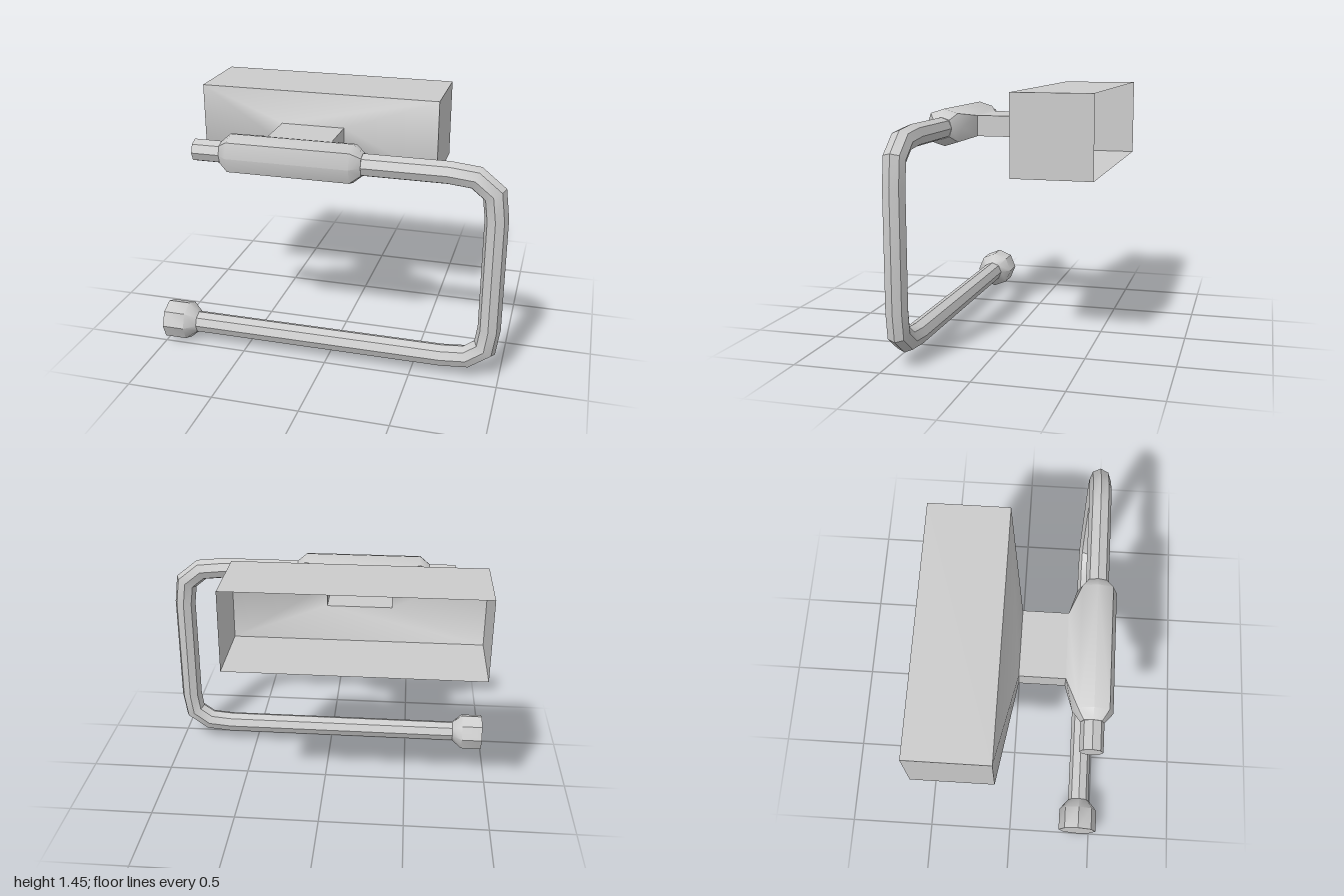
import * as THREE from 'three';
import { toCreasedNormals } from 'three/addons/utils/BufferGeometryUtils.js';
import { ConvexGeometry } from 'three/addons/geometries/ConvexGeometry.js';

const SIDES = 8, CREASE = 0.68;
const ROD_Z = 0.423, ROD_R = 0.064, TOP_Y = 1.225, LOW_Y = 0.12;

const solid = new THREE.MeshStandardMaterial({ color: 0xcccccc });
const shell = new THREE.MeshStandardMaterial({ color: 0xcccccc, side: THREE.DoubleSide });

// Skins a series of rings of equal point count, with optional end caps
function loft(rings, capped) {
  const n = rings[0].length, last = (rings.length - 1) * n, index = [];
  for (let i = 0; i < rings.length - 1; i++) {
    for (let j = 0; j < n; j++) {
      const a = i * n + j, b = i * n + (j + 1) % n;
      index.push(a, b, b + n, a, b + n, a + n);
    }
  }
  if (capped) {
    for (let j = 1; j < n - 1; j++) {
      index.push(0, j + 1, j, last, last + j, last + j + 1);
    }
  }
  const geo = new THREE.BufferGeometry();
  geo.setAttribute('position', new THREE.Float32BufferAttribute(rings.flat(2), 3));
  geo.setIndex(index);
  return toCreasedNormals(geo, CREASE);
}

// Octagonal rings along a path of [x, y, radius], mitred at the bends
function pathRings(points) {
  const dir = (a, b) => new THREE.Vector2(b[0] - a[0], b[1] - a[1]).normalize();
  return points.map((p, i) => {
    const before = dir(points[Math.max(i - 1, 0)], points[Math.max(i, 1)]);
    const end = points.length - 1;
    const after = dir(points[Math.min(i, end - 1)], points[Math.min(i + 1, end)]);
    const t = before.clone().add(after).normalize();
    const mitre = 1 / t.dot(before);
    return Array.from({ length: SIDES }, (_, j) => {
      const a = j / SIDES * Math.PI * 2;
      const u = Math.cos(a) * p[2] * mitre;
      return [p[0] - t.y * u, p[1] + t.x * u, ROD_Z + Math.sin(a) * p[2]];
    });
  });
}

const rect = (x0, x1, y0, y1, z) => [[x0, y0, z], [x1, y0, z], [x1, y1, z], [x0, y1, z]];

export function createModel() {
  const group = new THREE.Group();
  const add = (name, geometry, material = solid) => {
    const mesh = new THREE.Mesh(geometry, material);
    mesh.name = name;
    group.add(mesh);
  };

  // Wall housing: open at the back, tapering forward into the post
  const neck = z => rect(-0.385, -0.01, 1.163, 1.287, z);
  const housing = z => rect(-0.915, 0.525, 0.992, 1.457, z);
  add('wallHousing', loft([housing(-0.54), housing(-0.078), neck(0.02)], false), shell);
  add('post', loft([neck(0.02), neck(0.27)], false), shell);

  // Sleeve: faceted barrel around the rod, drawn back to meet the post
  const sleeve = neck(0.27).map(p => new THREE.Vector3(...p));
  for (const [x, r] of [[-0.6, 0.064], [-0.545, 0.11], [0.15, 0.11], [0.205, 0.064]]) {
    for (let j = 0; j < SIDES; j++) {
      const a = j / SIDES * Math.PI * 2;
      const k = j % 2 ? r * 1.08 : r;
      sleeve.push(new THREE.Vector3(x, TOP_Y + k * Math.cos(a), ROD_Z + k * Math.sin(a)));
    }
  }
  add('sleeve', toCreasedNormals(new ConvexGeometry(sleeve), CREASE));

  // Bent rod: upper arm, two rounded corners, lower arm
  const rodPath = [
    [-0.76, TOP_Y], [0.67, TOP_Y], [0.815, 1.21], [0.914, 1.13], [0.932, 0.99],
    [0.932, 0.33], [0.914, 0.205], [0.815, 0.133], [0.67, LOW_Y], [-0.85, LOW_Y],
  ].map(p => [...p, ROD_R]);
  add('rod', loft(pathRings(rodPath), true));

  // End knob on the lower arm
  add('endKnob', loft(pathRings([
    [-1, LOW_Y, 0.116], [-0.87, LOW_Y, 0.116], [-0.81, LOW_Y, ROD_R],
  ]), true));

  return group;
}
